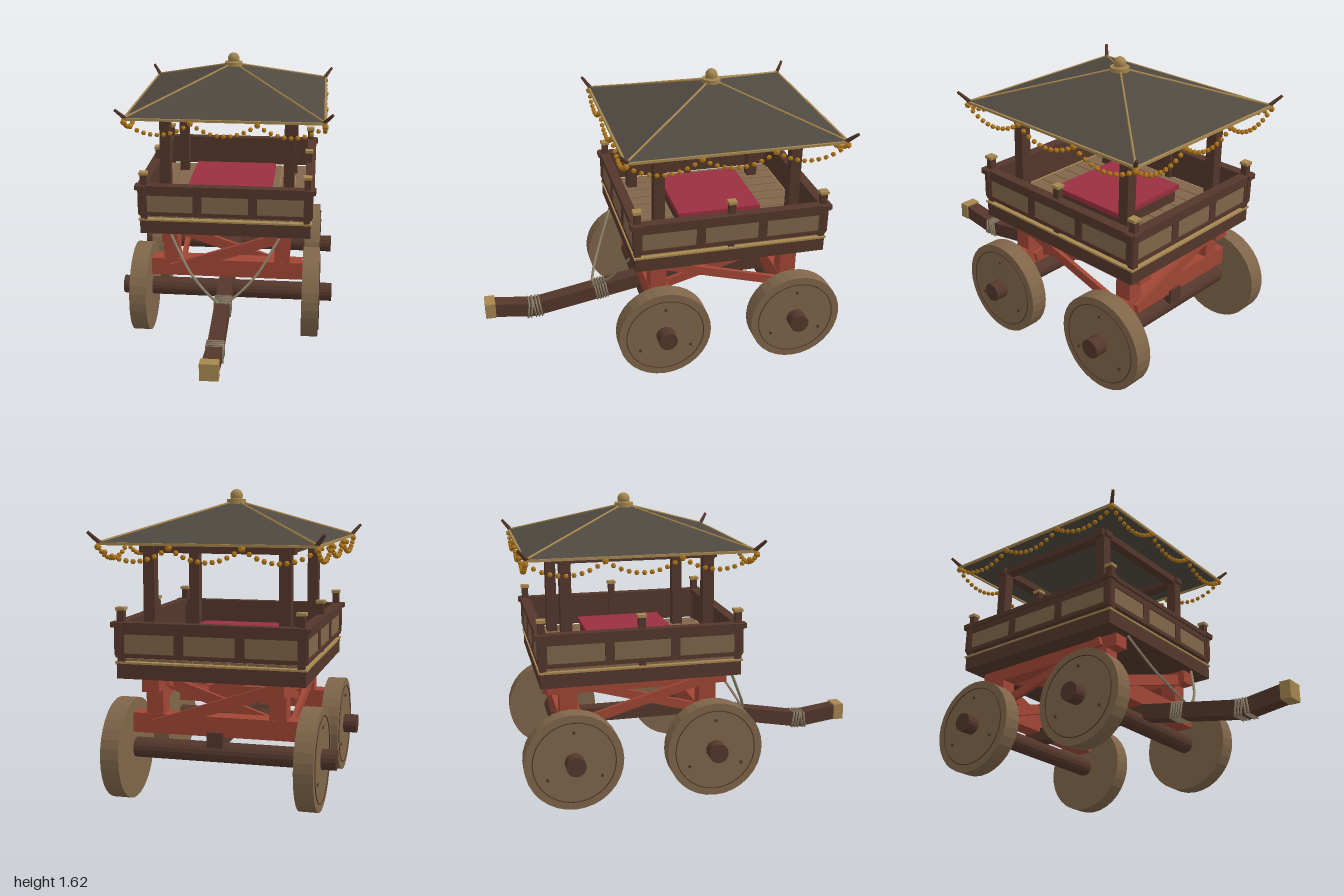
import * as THREE from 'three';

const mat = (name, color, extra = {}) => {
  const m = new THREE.MeshStandardMaterial({ color, ...extra });
  m.name = name;
  return m;
};

export function createModel() {
  const dark = mat('darkWood', 0x54372b, { flatShading: true });
  const wood = mat('paleWood', 0x80664a, { flatShading: true });
  const red = mat('redPaint', 0xa14635, { flatShading: true });
  const roofM = mat('roofGrey', 0x4f4940, { flatShading: true });
  const gold = mat('brass', 0xa5864f, { flatShading: true });
  const amber = mat('amberBeads', 0xb0761a, { flatShading: true });
  const cloth = mat('crimsonCloth', 0x9b2f40, { flatShading: true });
  const rope = mat('rope', 0x8d8169);

  const model = new THREE.Group();
  model.name = 'cart';
  const cart = new THREE.Group();
  cart.name = 'cartBody';
  cart.position.z = -0.35;
  model.add(cart);

  const add = (name, geo, m, x = 0, y = 0, z = 0, parent = cart) => {
    const mesh = new THREE.Mesh(geo, m);
    mesh.name = name;
    mesh.position.set(x, y, z);
    parent.add(mesh);
    return mesh;
  };
  const box = (name, m, w, h, d, x, y, z, parent) =>
    add(name, new THREE.BoxGeometry(w, h, d), m, x, y, z, parent);
  // box beam running from a to b
  const beam = (name, m, a, b, w, h, parent = cart) => {
    const p = new THREE.Vector3(...a), q = new THREE.Vector3(...b);
    const mesh = box(name, m, w, h, p.distanceTo(q), 0, 0, 0, parent);
    mesh.position.copy(p).add(q).multiplyScalar(0.5);
    mesh.quaternion.setFromRotationMatrix(
      new THREE.Matrix4().lookAt(q, p, new THREE.Vector3(0, 1, 0)));
    return mesh;
  };
  // round rod running from a to b
  const rod = (name, m, a, b, r0, r1, parent = cart, seg = 8) => {
    const p = new THREE.Vector3(...a), q = new THREE.Vector3(...b);
    const mesh = add(name, new THREE.CylinderGeometry(r1, r0, p.distanceTo(q), seg), m, 0, 0, 0, parent);
    mesh.position.copy(p).add(q).multiplyScalar(0.5);
    mesh.quaternion.setFromUnitVectors(new THREE.Vector3(0, 1, 0), q.sub(p).normalize());
    return mesh;
  };

  // axles, wheels and the cross frame above each axle
  const AX = 0.385;
  for (const s of [-1, 1]) {
    const z = s * AX;
    rod('axle', dark, [-0.62, 0.268, z], [0.62, 0.268, z], 0.053, 0.053, cart, 16);
    for (const side of [-1, 1]) {
      const x = side * 0.496;
      rod('wheel', wood, [x - 0.049, 0.265, z], [x + 0.049, 0.265, z], 0.265, 0.265, cart, 32);
      const ring = add('wheelRing', new THREE.TorusGeometry(0.222, 0.003, 5, 40), dark, side * 0.547, 0.265, z);
      ring.rotation.y = Math.PI / 2;
      for (let i = 0; i < 3; i++) {
        const a = Math.PI / 2 + i * Math.PI * 2 / 3;
        const y = 0.265 + 0.168 * Math.sin(a), zz = z + 0.168 * Math.cos(a);
        rod('wheelStud', dark, [side * 0.54, y, zz], [side * 0.552, y, zz], 0.009, 0.009);
      }
      box('framePost', red, 0.09, 0.24, 0.095, side * 0.325, 0.54, z);
    }
    box('bolster', red, 0.89, 0.103, 0.1, 0, 0.413, z);
    beam('crossBrace', red, [-s * 0.33, 0.405, z + s * 0.06], [s * 0.36, 0.64, z + s * 0.06], 0.025, 0.06);
    beam('crossBrace', red, [s * 0.33, 0.405, z - s * 0.06], [-s * 0.36, 0.64, z - s * 0.06], 0.025, 0.06);
  }
  for (const side of [-1, 1]) {
    box('frameRail', red, 0.09, 0.072, 0.995, side * 0.325, 0.627, 0);
    beam('sideBrace', red, [side * 0.382, 0.635, 0.4], [side * 0.382, 0.42, -0.36], 0.025, 0.05);
    beam('sideBrace', red, [side * 0.268, 0.635, -0.4], [side * 0.268, 0.42, 0.36], 0.025, 0.05);
  }

  // draw pole, its brass end and rope lashings
  box('spineBeam', dark, 0.085, 0.08, 0.8, 0, 0.345, -0.05);
  beam('drawPole', dark, [0, 0.338, -0.02], [0, 0.201, 0.72], 0.085, 0.085, model);
  beam('drawPoleTip', dark, [0, 0.201, 0.7], [0, 0.235, 0.96], 0.085, 0.085, model);
  box('poleCap', gold, 0.1, 0.095, 0.06, 0, 0.237, 0.97, model);
  const lash = (z, y, tilt) => {
    const t = add('ropeLashing', new THREE.TorusGeometry(0.063, 0.006, 6, 4), rope, 0, y, z, model);
    t.geometry.rotateZ(Math.PI / 4);
    t.rotation.x = tilt;
  };
  for (let i = 0; i < 5; i++) {
    lash(0.675 + i * 0.018, 0.207 - 0.001 * i, i < 3 ? 0.15 : -0.12);
    lash(0.275 + i * 0.016, 0.284 - 0.003 * i, 0.18);
  }
  for (const side of [-1, 1]) {
    const path = new THREE.CatmullRomCurve3([[0.31, 0.655, 0.18], [0.26, 0.57, 0.222],
      [0.19, 0.465, 0.275], [0.1, 0.375, 0.325], [0.02, 0.315, 0.355]]
      .map(([x, y, z]) => new THREE.Vector3(side * x, y, z)));
    add('stayRope', new THREE.TubeGeometry(path, 20, 0.008, 6), rope, 0, 0, 0, model);
  }

  // platform, trim and floor planks
  const HX = 0.487, HZ = 0.543;
  box('platform', dark, HX * 2, 0.078, HZ * 2, 0, 0.703, 0);
  box('platformTrim', gold, 0.988, 0.01, 1.1, 0, 0.747, 0);
  for (let i = 0; i < 10; i++)
    box('floorPlank', wood, 0.088, 0.014, 1.03, -0.423 + i * 0.094, 0.758, 0);
  box('daisBase', dark, 0.46, 0.08, 0.46, 0, 0.8, 0);
  box('daisMat', cloth, 0.5, 0.028, 0.48, 0, 0.85, 0);

  // panelled railing: one wall per side, built facing +z and turned
  const wall = (half, dist, turn) => {
    const g = new THREE.Group();
    g.name = 'railing';
    g.rotation.y = turn;
    cart.add(g);
    box('railBack', dark, half * 2, 0.16, 0.018, 0, 0.853, dist - 0.016, g);
    box('topRail', dark, half * 2 + 0.05, 0.026, 0.055, 0, 0.941, dist - 0.01, g);
    box('upperBar', dark, half * 2, 0.04, 0.03, 0, 0.913, dist - 0.008, g);
    box('lowerBar', dark, half * 2, 0.022, 0.034, 0, 0.784, dist - 0.008, g);
    const pitch = (half * 2 - 0.03) / 3;
    for (let i = 0; i < 4; i++)
      box('stile', dark, 0.05, 0.15, 0.03, (i - 1.5) * pitch, 0.86, dist - 0.008, g);
    for (let i = -1; i <= 1; i++)
      box('railPanel', wood, pitch - 0.05, 0.1, 0.008, i * pitch, 0.843, dist - 0.003, g);
  };
  for (const t of [0, Math.PI]) {
    wall(0.487, 0.54, t);
    wall(0.543, 0.485, t + Math.PI / 2);
  }
  for (const x of [-0.463, 0.463]) for (const z of [-0.527, 0, 0.527]) {
    box('railPost', dark, 0.036, 0.265, 0.036, x, 0.882, z);
    box('railPostCap', gold, 0.048, 0.016, 0.048, x, 1.021, z);
  }

  // roof posts and top frame
  for (const s of [-1, 1]) {
    for (const x of [-0.355, 0.355]) box('roofPost', dark, 0.06, 0.57, 0.06, x, 1.035, s * AX);
    box('roofBeam', dark, 0.81, 0.042, 0.06, 0, 1.317, s * AX);
    box('roofBeam', dark, 0.06, 0.036, 0.86, s * 0.355, 1.317, 0);
  }

  // four-sided roof with trimmed eaves, ridges, corner horns and finial
  const RX = 0.55, RZ = 0.6;
  const roof = new THREE.CylinderGeometry(0.05 * Math.SQRT2, Math.SQRT2, 0.19, 4);
  roof.rotateY(Math.PI / 4).scale(RX, 1, RZ);
  add('roof', roof, roofM, 0, 1.447, 0);
  for (const s of [-1, 1]) {
    box('eaveTrim', gold, RX * 2 + 0.01, 0.013, 0.012, 0, 1.349, s * RZ);
    box('eaveTrim', gold, 0.012, 0.013, RZ * 2, s * RX, 1.349, 0);
    for (const t of [-1, 1]) {
      rod('ridge', gold, [s * RX, 1.355, t * RZ], [s * 0.025, 1.545, t * 0.028], 0.006, 0.006, cart, 6);
      rod('cornerHorn', dark, [s * 0.542, 1.352, t * 0.59], [s * 0.588, 1.408, t * 0.636], 0.012, 0.008);
    }
  }
  add('finialBase', new THREE.CylinderGeometry(0.052, 0.052, 0.024, 16), gold, 0, 1.55, 0);
  add('finialNeck', new THREE.CylinderGeometry(0.03, 0.036, 0.012, 16), gold, 0, 1.566, 0);
  add('finialBall', new THREE.SphereGeometry(0.034, 16, 12), gold, 0, 1.582, 0);

  // bead garlands: three swags along every eave
  const bead = new THREE.IcosahedronGeometry(0.0145, 0);
  const knot = new THREE.IcosahedronGeometry(0.019, 0);
  const N = 10;
  const garland = (half, dist, turn) => {
    const g = new THREE.Group();
    g.name = 'garland';
    g.rotation.y = turn;
    cart.add(g);
    for (let i = 0; i < 3 * N; i++) {
      const u = (i % N) / N;
      const sag = 0.068 * 4 * u * (1 - u);
      add('bead', i % N ? bead : knot, amber, -half + (2 * half * i) / (3 * N), 1.333 - sag, dist, g);
    }
  };
  for (const t of [0, Math.PI]) {
    garland(RX, RZ, t);
    garland(RZ, RX, t + Math.PI / 2);
  }
  return model;
}
